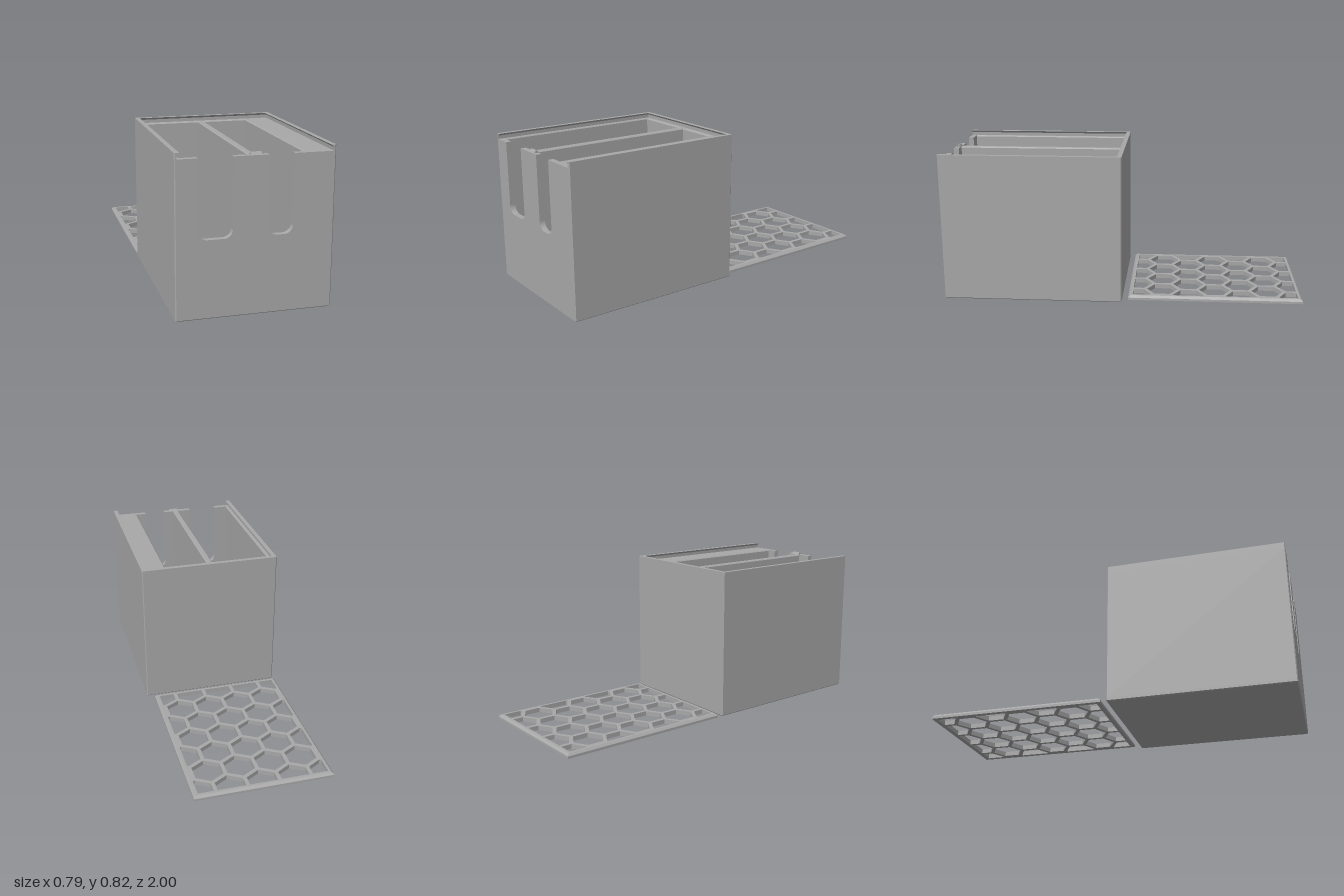
import * as THREE from 'three';

const grey = new THREE.MeshStandardMaterial({ color: 0xa8a8a8 });
grey.name = 'plain grey';

// Stacks [x, z] outlines (anticlockwise from above) at given heights, with optional caps.
function loft(layers, capBottom = true, capTop = true) {
  const pos = [];
  const put = (p, y) => pos.push(p[0], y, p[1]);
  for (let k = 0; k + 1 < layers.length; k++) {
    const [ya, a] = layers[k], [yb, b] = layers[k + 1];
    for (let i = 0; i < a.length; i++) {
      const j = (i + 1) % a.length;
      put(a[i], ya); put(a[j], ya); put(b[j], yb);
      put(a[i], ya); put(b[j], yb); put(b[i], yb);
    }
  }
  const cap = ([y, pts], flip) => {
    const flat = pts.map(([x, z]) => new THREE.Vector2(x, -z));
    for (const t of THREE.ShapeUtils.triangulateShape(flat, [])) {
      (flip ? [t[0], t[2], t[1]] : t).forEach(i => put(pts[i], y));
    }
  };
  if (capBottom) cap(layers[0], true);
  if (capTop) cap(layers[layers.length - 1], false);
  const g = new THREE.BufferGeometry();
  g.setAttribute('position', new THREE.Float32BufferAttribute(pos, 3));
  g.computeVertexNormals();
  return g;
}

const rect = (x0, x1, z0, z1, d = 0) =>
  [[x0 + d, z1 - d], [x1 - d, z1 - d], [x1 - d, z0 + d], [x0 + d, z0 + d]];

// Box measurements
const W = 0.395, BACK = 0.005, FRONT = 1, C = 0.005;
const FLOOR = 0.02, DECK = 0.79, TOP = 0.82, WALL = 0.97;

// Chamfered outside of the box, from the right front corner round to the left one
const outside = [
  [W - C, FRONT], [W, FRONT - C], [W, BACK + C], [W - C, BACK],
  [C - W, BACK], [-W, BACK + C], [-W, FRONT - C], [C - W, FRONT],
];

// Walls with two compartments left open towards the front plate
function wallOutline(spread) {
  const bay = (x0, x1) => [
    [x0 - spread, WALL], [x0 - spread, 0.04 - spread],
    [x1 + spread, 0.04 - spread], [x1 + spread, WALL],
  ];
  return [[-0.38, FRONT], [-0.38, WALL], ...bay(-0.365, -0.036), ...bay(0, 0.245),
    [0.38, WALL], [0.38, FRONT], ...outside];
}

// U-shaped dovetail rail, open at the front
const railOutline = (x, z) =>
  [[-x, FRONT], [-x, z], [x, z], [x, FRONT], ...outside];

// Front plate with two round-cornered slots
function frontPlate() {
  const s = new THREE.Shape();
  s.moveTo(-0.38, FLOOR);
  s.lineTo(0.38, FLOOR);
  s.lineTo(0.38, DECK);
  const r = 0.045, low = 0.396;
  for (const [x0, x1] of [[0.06, 0.187], [-0.285, -0.113]]) {
    s.lineTo(x1, DECK);
    s.lineTo(x1, low + r);
    s.absarc(x1 - r, low + r, r, 0, -Math.PI / 2, true);
    s.absarc(x0 + r, low + r, r, -Math.PI / 2, -Math.PI, true);
    s.lineTo(x0, DECK);
  }
  s.lineTo(-0.38, DECK);
  const g = new THREE.ExtrudeGeometry(s, { depth: FRONT - WALL, bevelEnabled: false, curveSegments: 10 });
  return g.translate(0, 0, WALL);
}

// Lid measurements
const LX0 = -0.395, LX1 = 0.355, LZ0 = -0.998, LZ1 = -0.028, LH = 0.025, TAPER = 0.011;

// Cuts a convex polygon to one side of an axis-aligned line
function clip(poly, axis, limit, sign) {
  const out = [];
  poly.forEach((p, i) => {
    const q = poly[(i + 1) % poly.length];
    const dp = sign * (limit - p[axis]), dq = sign * (limit - q[axis]);
    if (dp >= 0) out.push(p);
    if (dp * dq < 0) {
      const t = dp / (dp - dq);
      out.push([p[0] + (q[0] - p[0]) * t, p[1] + (q[1] - p[1]) * t]);
    }
  });
  return out;
}

// Honeycomb panel: hexagons trimmed to the inside of the rim
function lidPanel() {
  const toShape = (pts, Kind) => new Kind(pts.map(([x, z]) => new THREE.Vector2(x, -z)));
  const s = toShape(rect(LX0, LX1, LZ0, LZ1, TAPER), THREE.Shape);
  const cx = (LX0 + LX1) / 2, cz = (LZ0 + LZ1) / 2, pitch = 0.171, R = 0.0866, rim = 0.025;
  for (let row = -3; row <= 3; row++) {
    const odd = Math.abs(row) % 2;
    for (let col = 0; col < 4 + odd; col++) {
      const x = cx + (col - (3 + odd) / 2) * pitch;
      const z = cz + row * pitch * Math.sqrt(3) / 2;
      let hex = [];
      for (let k = 0; k < 6; k++) {
        const a = (k + 0.5) * Math.PI / 3;
        hex.push([x + R * Math.cos(a), z + R * Math.sin(a)]);
      }
      hex = clip(hex, 0, LX0 + rim, -1);
      hex = clip(hex, 0, LX1 - rim, 1);
      hex = clip(hex, 1, LZ0 + rim, -1);
      hex = clip(hex, 1, LZ1 - rim, 1);
      if (hex.length > 2) s.holes.push(toShape(hex, THREE.Path));
    }
  }
  const g = new THREE.ExtrudeGeometry(s, { depth: LH, bevelEnabled: false });
  return g.rotateX(-Math.PI / 2);
}

export function createModel() {
  const model = new THREE.Group();
  model.name = 'slidingLidBox';
  const box = new THREE.Group(), lid = new THREE.Group();
  box.name = 'box';
  lid.name = 'lid';
  model.add(box, lid);
  const add = (parent, name, geometry) => {
    const m = new THREE.Mesh(geometry, grey);
    m.name = name;
    parent.add(m);
  };

  // Box: chamfered floor, walls with eased compartment rims, slotted front, dovetail rails
  const foot = outside.map(([x, z]) => [x - Math.sign(x) * C, z > 0.5 ? z - C : z + C]);
  add(box, 'floor', loft([[0, foot], [C, outside], [FLOOR, outside]]));
  add(box, 'walls', loft([[FLOOR, wallOutline(0)], [DECK - 0.006, wallOutline(0)], [DECK, wallOutline(0.006)]], false));
  add(box, 'frontPlate', frontPlate());
  add(box, 'lidRails', loft([
    [DECK, railOutline(0.383, 0.017)],
    [0.808, railOutline(0.383, 0.017)],
    [TOP, railOutline(0.37, 0.03)],
  ], false));
  add(box, 'latchRidge', loft([
    [DECK, rect(-0.028, 0.027, 0.968, 0.992)],
    [0.803, rect(-0.028, 0.027, 0.976, 0.984)],
  ]));

  // Lid: honeycomb panel with a tapered edge all round
  const edge = d => rect(LX0, LX1, LZ0, LZ1, d);
  add(lid, 'honeycombPanel', lidPanel());
  add(lid, 'taperedEdge', loft([[0, edge(TAPER)], [0, edge(0)], [0.013, edge(0)], [LH, edge(TAPER)]], false, false));
  return model;
}
